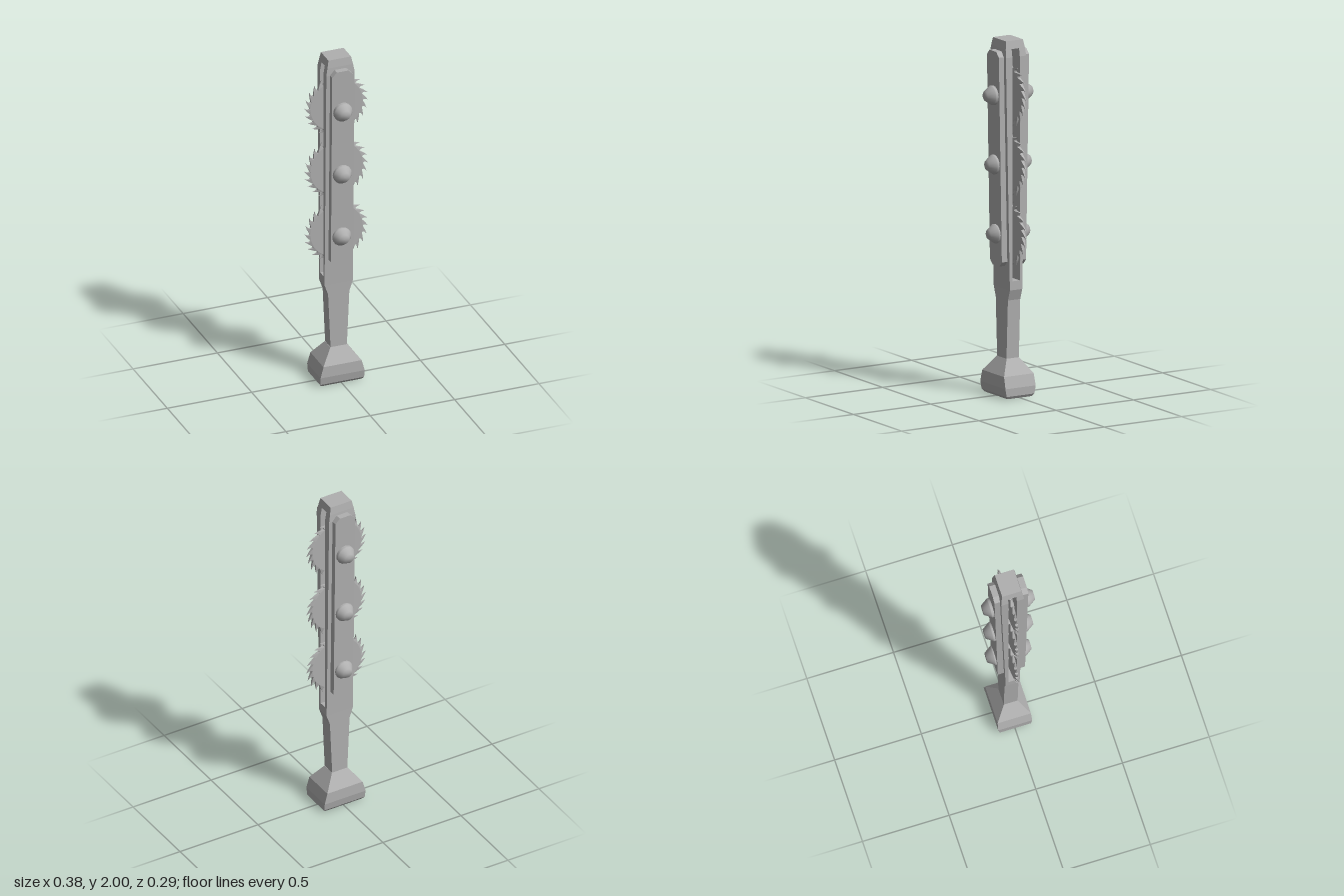
import * as THREE from 'three';
import { mergeVertices } from 'three/addons/utils/BufferGeometryUtils.js';

const steel = new THREE.MeshStandardMaterial({ color: 0xb0b0b0 });
steel.name = 'steel grey';

// Stack of rectangular sections: [y, half width, z back, z front]
function loft(sections) {
  const pos = [], index = [];
  for (const [y, w, z0, z1] of sections) pos.push(-w, y, z1, w, y, z1, w, y, z0, -w, y, z0);
  for (let s = 0; s < sections.length - 1; s++) {
    for (let i = 0; i < 4; i++) {
      const a = s * 4 + i, b = s * 4 + (i + 1) % 4;
      index.push(a, b, b + 4, a, b + 4, a + 4);
    }
  }
  const t = (sections.length - 1) * 4;
  index.push(0, 2, 1, 0, 3, 2, t, t + 1, t + 2, t, t + 2, t + 3);
  const g = new THREE.BufferGeometry();
  g.setAttribute('position', new THREE.Float32BufferAttribute(pos, 3));
  g.setIndex(index);
  const flat = g.toNonIndexed();
  flat.computeVertexNormals();
  return flat;
}

function add(parent, name, geometry) {
  const mesh = new THREE.Mesh(geometry, steel);
  mesh.name = name;
  parent.add(mesh);
  return mesh;
}

// Changes each z by a rule, then restores flat normals
function reshapeZ(g, rule) {
  const p = g.attributes.position;
  for (let i = 0; i < p.count; i++) p.setZ(i, rule(p.getX(i), p.getY(i), p.getZ(i)));
  g.computeVertexNormals();
  return g;
}

// Saw disc with hooked teeth, thinning towards the tips
function sawGeometry() {
  const teeth = 24, step = Math.PI * 2 / teeth, pts = [];
  const tooth = [[0, 0.155], [0.32, 0.162], [0.72, 0.174], [1.2, 0.19], [0.98, 0.174], [0.92, 0.163]];
  for (let i = 0; i < teeth; i++) {
    for (const [f, r] of tooth) {
      const a = (i + f) * step;
      pts.push(new THREE.Vector2(-r * Math.cos(a), r * Math.sin(a)));
    }
  }
  const g = new THREE.ExtrudeGeometry(new THREE.Shape(pts), { depth: 1, bevelEnabled: false });
  return reshapeZ(g, (x, y, z) => {
    const edge = Math.min(1, Math.max(0, (0.19 - Math.hypot(x, y)) / 0.035));
    return (z > 0.5 ? 1 : -1) * (0.001 + 0.008 * edge);
  });
}

// Long side plate with cut corners, leaning with the body
function plateGeometry() {
  const w = 0.062, c = 0.028, b = 0.73, t = 1.94;
  const outline = [[-w + c, b], [w - c, b], [w, b + c], [w, t - c], [w - c, t], [-w + c, t], [-w, t - c], [-w, b + c]];
  const shape = new THREE.Shape(outline.map(([x, y]) => new THREE.Vector2(x, y)));
  const g = new THREE.ExtrudeGeometry(shape, { depth: 0.037, bevelEnabled: false });
  return reshapeZ(g, (x, y, z) => z + 0.041 + 0.0165 * (y - b));
}

// Conical bolt head along +z, with its tip at z = 0
function boltGeometry() {
  const profile = [[0.055, -0.075], [0.055, -0.04], [0.052, -0.036], [0.028, 0], [0, 0]];
  const g = new THREE.LatheGeometry(profile.map(([r, y]) => new THREE.Vector2(r, y)), 16);
  g.rotateX(Math.PI / 2);
  return g;
}

export function createModel() {
  const model = new THREE.Group();
  model.name = 'sawClub';

  // Pommel, grip and shoulder
  add(model, 'pommel', loft([
    [0, 0.12, -0.078, 0.078], [0.015, 0.13, -0.09, 0.09], [0.06, 0.131, -0.098, 0.098],
    [0.125, 0.113, -0.096, 0.096], [0.21, 0.05, -0.04, 0.04]]));
  add(model, 'grip', loft([
    [0.2, 0.048, -0.04, 0.04], [0.54, 0.063, -0.04, 0.04],
    [0.6, 0.084, -0.04, 0.04], [0.65, 0.084, -0.041, 0.041]]));

  // Slotted head: two cheeks joined by a tapered cap
  add(model, 'headCap', loft([[1.955, 0.076, -0.062, 0.062], [2, 0.067, -0.055, 0.055]]));

  const plate = plateGeometry(), bolt = boltGeometry(), saw = mergeVertices(sawGeometry()).toNonIndexed();
  saw.computeVertexNormals();
  const cheek = loft([[0.65, 0.084, 0.024, 0.041], [1.91, 0.084, 0.024, 0.066], [1.955, 0.076, 0.024, 0.062]]);
  const heights = [0.91, 1.3, 1.69];

  for (const name of ['front', 'back']) {
    const side = new THREE.Group();
    side.name = name + 'Side';
    side.rotation.y = name === 'front' ? 0 : Math.PI;
    add(side, name + 'Cheek', cheek);
    add(side, name + 'Plate', plate);
    heights.forEach((y, i) => {
      add(side, name + 'Bolt', bolt).position.set(0, y, 0.127 + i * 0.01);
    });
    model.add(side);
  }

  // Saw discs on their axles
  const axle = new THREE.CylinderGeometry(0.045, 0.045, 0.06, 16).rotateX(Math.PI / 2);
  for (const y of heights) {
    add(model, 'sawDisc', saw).position.y = y;
    add(model, 'axle', axle).position.y = y;
  }
  return model;
}
